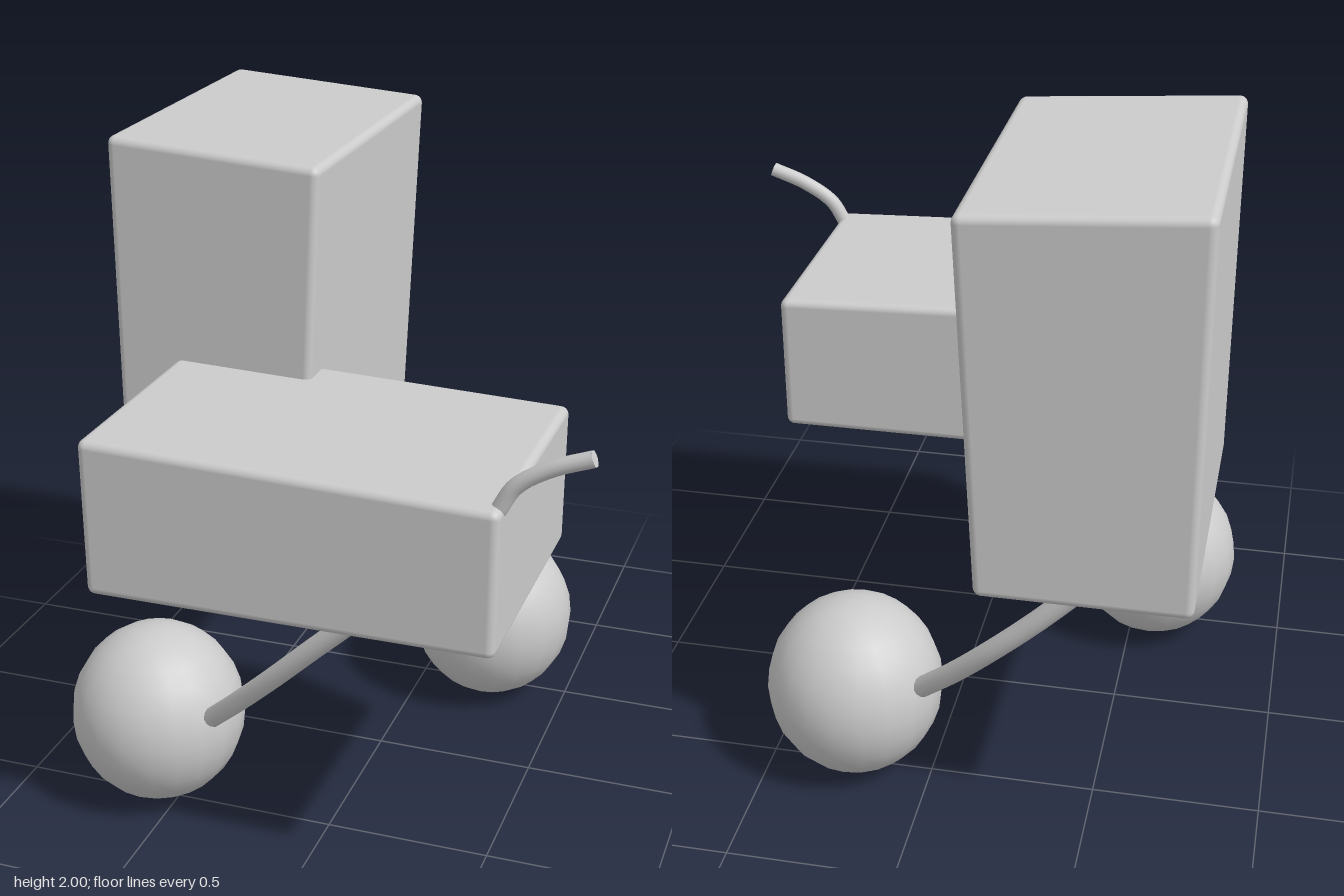
import * as THREE from 'three';
import { RoundedBoxGeometry } from 'three/addons/geometries/RoundedBoxGeometry.js';

const material = new THREE.MeshStandardMaterial({ color: 0xcccccc });

function addMesh(group, name, geometry) {
  const mesh = new THREE.Mesh(geometry, material);
  mesh.name = name;
  group.add(mesh);
  return mesh;
}

// Rounded box whose top slopes down towards +x and whose +x side leans outwards
function slopedBox(x0, x1, y0, y1, z0, z1, drop, lean) {
  const w = x1 - x0, h = y1 - y0, d = z1 - z0;
  const geometry = new RoundedBoxGeometry(w, h, d, 3, 0.025);
  const p = geometry.attributes.position;
  for (let i = 0; i < p.count; i++) {
    const u = p.getX(i) / w + 0.5, v = p.getY(i) / h + 0.5;
    p.setX(i, x0 + u * (w - lean * (1 - v)));
    p.setY(i, y0 + v * (h - drop * u));
    p.setZ(i, p.getZ(i) + (z0 + z1) / 2);
  }
  return geometry;
}

// Curved rod with closed ends
function addRod(group, name, points, radius) {
  const rod = new THREE.Group();
  rod.name = name;
  const curve = new THREE.CatmullRomCurve3(points.map((p) => new THREE.Vector3(...p)));
  addMesh(rod, name + 'Bar', new THREE.TubeGeometry(curve, 20, radius, 12));
  for (const t of [0, 1]) {
    const cap = addMesh(rod, name + 'End', new THREE.CircleGeometry(radius, 12));
    const direction = curve.getTangentAt(t).multiplyScalar(t ? 1 : -1);
    cap.position.copy(curve.getPointAt(t));
    cap.quaternion.setFromUnitVectors(new THREE.Vector3(0, 0, 1), direction);
  }
  group.add(rod);
}

export function createModel() {
  const model = new THREE.Group();
  model.name = 'carriage';

  // Body: tall hood and low basket
  addMesh(model, 'hood', slopedBox(-0.79, -0.13, 0.857, 2.0, -0.83, 0.17, 0.045, 0.06));
  addMesh(model, 'basket', slopedBox(-0.6, 0.595, 0.857, 1.33, 0.045, 0.83, 0.042, 0.005));

  // Ball wheels, slightly taller than wide
  for (const [name, x, z] of [['frontWheel', -0.57, 0.465], ['backWheel', 0.24, -0.48]]) {
    const wheel = addMesh(model, name, new THREE.SphereGeometry(0.267, 20, 14));
    wheel.scale.y = 1.06;
    wheel.position.set(x, 0.283, z);
  }

  // Crossing legs, bowed outwards
  addRod(model, 'frontLeg', [
    [0.22, 0.92, 0.74], [0.165, 0.86, 0.735], [0.03, 0.73, 0.72],
    [-0.1, 0.6, 0.69], [-0.23, 0.47, 0.638], [-0.34, 0.36, 0.575],
  ], 0.031);
  addRod(model, 'backLeg', [
    [-0.53, 0.92, -0.735], [-0.475, 0.86, -0.73], [-0.35, 0.73, -0.72],
    [-0.22, 0.6, -0.695], [-0.1, 0.475, -0.645], [0.01, 0.365, -0.585],
  ], 0.031);

  // Push handle on the basket corner
  addRod(model, 'handle', [
    [0.575, 1.27, 0.77], [0.62, 1.345, 0.768], [0.71, 1.405, 0.766], [0.82, 1.448, 0.764],
  ], 0.023);

  return model;
}
